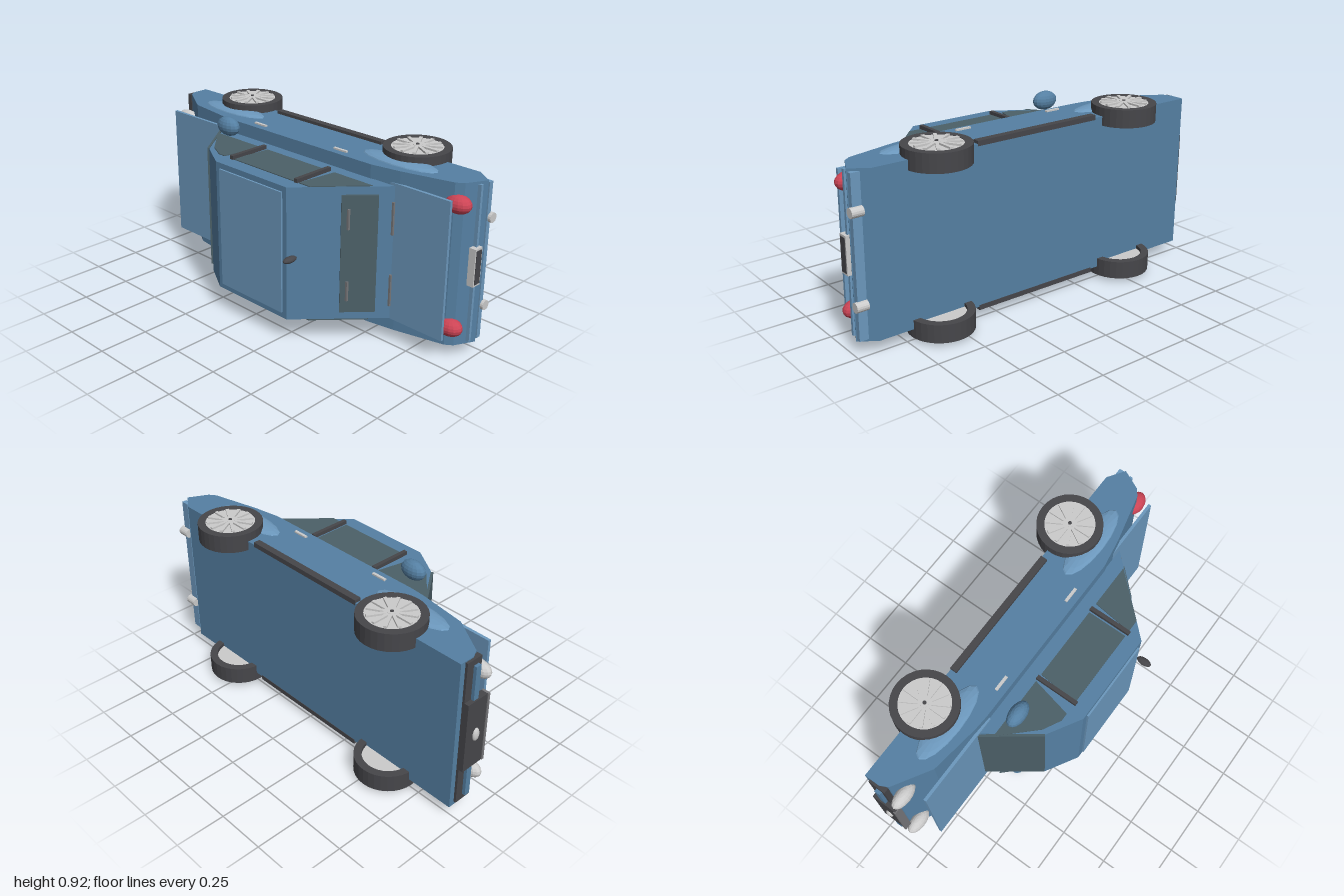
import * as THREE from 'three';

// The car lies on its side: nose to -x, roof to +z, width along y.
const MID = 0.46;

export function createModel() {
  const car = new THREE.Group();
  car.name = 'car';
  const mat = (color) => new THREE.MeshStandardMaterial({ color, flatShading: true, side: THREE.DoubleSide });
  const blue = mat(0x5580a3), lightBlue = mat(0x6c98bd), glass = mat(0x4c6068);
  const dark = mat(0x46464a), grey = mat(0xcccccc), trim = mat(0x77777a), red = mat(0xcc4455);

  const add = (name, geo, material, x = 0, y = 0, z = 0, parent = car) => {
    const m = new THREE.Mesh(geo, material);
    m.name = name;
    m.position.set(x, y, z);
    parent.add(m);
    return m;
  };
  // Box given by its min and max corners
  const box = (name, m, x0, x1, y0, y1, z0, z1) =>
    add(name, new THREE.BoxGeometry(x1 - x0, y1 - y0, z1 - z0), m, (x0 + x1) / 2, (y0 + y1) / 2, (z0 + z1) / 2);
  const ball = (name, m, x, y, z, rx, ry, rz) =>
    add(name, new THREE.SphereGeometry(1, 16, 10).scale(rx, ry, rz), m, x, y, z);
  // Profile in (x, z) extruded across the width from y0 to y1
  const prism = (name, m, pts, y0, y1) => {
    const shape = new THREE.Shape(pts.map(([x, z]) => new THREE.Vector2(x, -z)));
    const geo = new THREE.ExtrudeGeometry(shape, { depth: y1 - y0, bevelEnabled: false });
    geo.rotateX(-Math.PI / 2);
    return add(name, geo, m, 0, y0, 0);
  };
  // Thin pane following a line in the (x, z) plane
  const pane = (name, m, a, b, y0, y1, t) => {
    const len = Math.hypot(b[0] - a[0], b[1] - a[1]);
    const p = add(name, new THREE.BoxGeometry(len, y1 - y0, t), m,
      (a[0] + b[0]) / 2, (y0 + y1) / 2, (a[1] + b[1]) / 2);
    p.rotation.y = -Math.atan2(b[1] - a[1], b[0] - a[0]);
    return p;
  };

  // Lower body and cabin
  prism('body', blue, [[-0.95, -0.268], [0.9, -0.268], [0.985, -0.21], [0.935, -0.11], [0.9, -0.085],
    [0.65, -0.025], [0.5, 0.0], [-0.42, 0.0], [-0.5, -0.005], [-0.75, -0.04], [-0.93, -0.15], [-0.95, -0.19]], 0.062, 0.86);
  prism('cabin', blue, [[-0.5, -0.005], [0.64, -0.005], [0.31, 0.345], [-0.16, 0.345], [-0.32, 0.25]], 0.13, 0.793);

  // Lids and sunroof
  box('hood', lightBlue, -0.88, -0.41, 0.12, 0.81, -0.006, 0.009);
  box('trunkLid', lightBlue, 0.5, 0.93, 0.12, 0.8, -0.032, -0.017);
  box('sunroof', lightBlue, -0.13, 0.285, 0.16, 0.765, 0.34, 0.354);

  // Windscreen, rear window and wipers
  pane('windscreen', glass, [-0.505, 0.005], [-0.325, 0.25], 0.165, 0.795, 0.012);
  pane('rearWindow', glass, [0.595, 0.05], [0.481, 0.171], 0.17, 0.755, 0.012);
  for (const y of [0.28, 0.64]) {
    box('rearWiper', trim, 0.497, 0.513, y - 0.05, y + 0.05, 0.143, 0.157);
    box('trunkHinge', trim, 0.638, 0.648, y - 0.08, y + 0.08, 0, 0.01);
  }

  // Antenna fin
  ball('antenna', dark, 0.355, 0.463, 0.368, 0.02, 0.015, 0.04);

  const windows = [
    [[-0.465, 0.065], [-0.14, 0.065], [-0.185, 0.27], [-0.225, 0.27], [-0.31, 0.225]],
    [[-0.1, 0.065], [0.285, 0.065], [0.285, 0.27], [-0.12, 0.27]],
    [[0.34, 0.065], [0.57, 0.065], [0.38, 0.27], [0.315, 0.27]],
  ];

  // Parts repeated on both flanks
  for (const s of [-1, 1]) {
    const flank = (d0, d1) => (s > 0 ? [MID + d0, MID + d1] : [MID - d1, MID - d0]);
    windows.forEach((w) => prism('sideWindow', glass, w, ...flank(0.325, 0.337)));
    for (const x of [-0.123, 0.303]) box('pillar', dark, x - 0.01, x + 0.01, ...flank(0.335, 0.354), 0.06, 0.28);
    box('sill', dark, -0.34, 0.36, ...flank(0.39, 0.415), -0.27, -0.235);
    for (const x of [-0.26, 0.28]) box('doorHandle', grey, x - 0.04, x + 0.04, ...flank(0.39, 0.408), -0.048, -0.034);
    ball('mirror', blue, -0.335, MID + s * 0.412, 0.107, 0.07, 0.048, 0.04);
    ball('headlight', grey, -0.91, MID + s * 0.28, -0.105, 0.073, 0.043, 0.036);
    ball('tailLight', red, 0.915, MID + s * 0.302, -0.098, 0.066, 0.044, 0.046);
    add('exhaust', new THREE.CylinderGeometry(0.024, 0.024, 0.06, 16).rotateZ(Math.PI / 2), grey,
      0.97, MID + s * 0.217, -0.247);

    for (const x of [-0.545, 0.565]) {
      ball('wheelArch', lightBlue, x, MID + s * 0.398, -0.125, 0.215, 0.02, 0.068);
      makeWheel(x, s);
    }
  }

  // Wheel: ring tyre, rim dish, hub and spokes; local +y points outward
  function makeWheel(x, s) {
    const wheel = new THREE.Group();
    wheel.name = 'wheel';
    wheel.position.set(x, MID + s * 0.398, -0.25);
    if (s < 0) wheel.rotation.x = Math.PI;
    car.add(wheel);
    const ring = [[0.122, -0.045], [0.16, -0.045], [0.16, 0.045], [0.122, 0.045], [0.122, -0.045]];
    add('tyre', new THREE.LatheGeometry(ring.map(([r, y]) => new THREE.Vector2(r, y)), 32), dark, 0, 0, 0, wheel);
    add('rim', new THREE.CylinderGeometry(0.123, 0.123, 0.07, 32), grey, 0, 0.008, 0, wheel);
    add('hub', new THREE.CylinderGeometry(0.022, 0.022, 0.012, 16), grey, 0, 0.047, 0, wheel);
    add('hubCap', new THREE.CylinderGeometry(0.009, 0.009, 0.004, 12), dark, 0, 0.054, 0, wheel);
    for (let i = 0; i < 12; i++) {
      const spoke = new THREE.BoxGeometry(0.1, 0.01, 0.016).translate(0.065, 0.047, 0);
      add('spoke', spoke.rotateY((i * Math.PI) / 6), grey, 0, 0, 0, wheel);
    }
  }

  // Nose: bumper strip, grille and round badge plate
  box('frontBumper', blue, -0.978, -0.94, 0.11, 0.825, -0.2, -0.17);
  box('frontTrim', dark, -0.962, -0.935, 0.08, 0.855, -0.24, -0.15);
  box('grille', dark, -0.985, -0.95, 0.28, 0.65, -0.24, -0.11);
  box('grilleEdge', trim, -0.989, -0.95, 0.28, 0.65, -0.118, -0.105);
  ball('noseButton', grey, -0.985, MID, -0.175, 0.014, 0.035, 0.02);

  // Tail: bumper strips and framed plate
  box('rearBumper', lightBlue, 0.94, 0.985, 0.075, 0.848, -0.245, -0.22);
  box('rearStrip', lightBlue, 0.94, 0.98, 0.075, 0.848, -0.18, -0.165);
  box('plateFrame', grey, 0.96, 0.995, 0.37, 0.555, -0.19, -0.139);
  box('plate', dark, 0.97, 0.998, 0.38, 0.545, -0.183, -0.146);

  return car;
}
